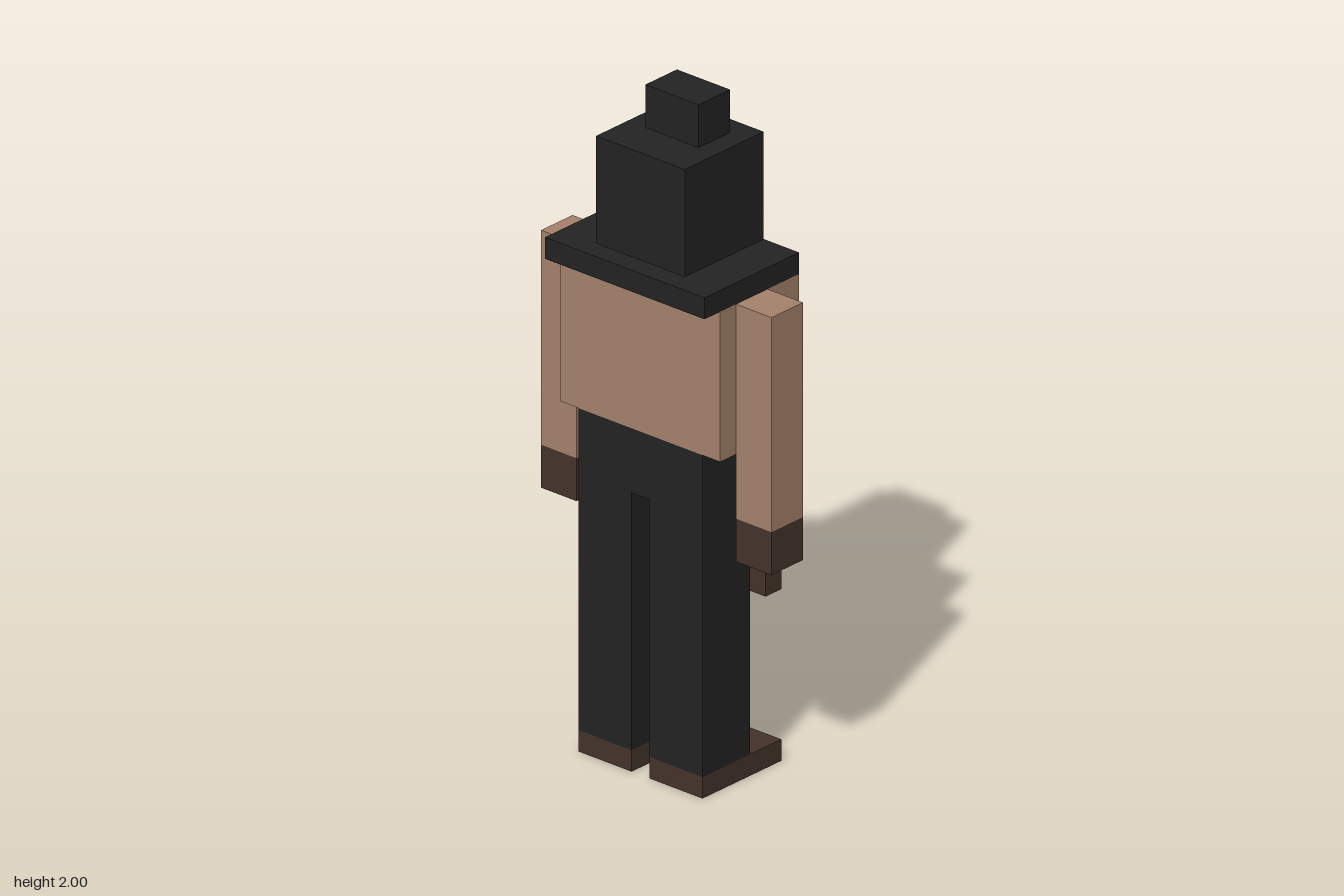
import * as THREE from 'three';

const U = 2 / 31; // one block unit; the figure is 31 blocks tall

const mat = (name, color) => {
  const m = new THREE.MeshStandardMaterial({ color });
  m.name = name;
  return m;
};

export function createModel() {
  const skin = mat('skin', 0xa5826c);
  const black = mat('black cloth', 0x232323);
  const brown = mat('brown leather', 0x45332c);
  const red = mat('red stripe', 0x8e1e22);

  const model = new THREE.Group();
  model.name = 'blockFigure';

  // Box given by its [min, max] ranges in block units
  const box = (name, material, [x0, x1], [y0, y1], [z0, z1]) => {
    const mesh = new THREE.Mesh(
      new THREE.BoxGeometry((x1 - x0) * U, (y1 - y0) * U, (z1 - z0) * U), material);
    mesh.position.set((x0 + x1) / 2 * U, (y0 + y1) / 2 * U, (z0 + z1) / 2 * U);
    mesh.name = name;
    model.add(mesh);
  };
  // The same box on both sides of x = 0
  const pair = (name, material, [x0, x1], y, z) => {
    box(name + 'Left', material, [x0, x1], y, z);
    box(name + 'Right', material, [-x1, -x0], y, z);
  };

  // Legs and hips
  pair('shoe', brown, [0.5, 3.5], [0, 1], [-2.5, 2.5]);
  pair('leg', black, [0.5, 3.5], [1, 13], [-0.5, 2.5]);
  box('hips', black, [-3.5, 3.5], [13, 16], [-1.5, 2.5]);

  // Torso and arms
  box('torso', skin, [-4.5, 4.5], [16, 23], [-2.5, 2.5]);
  pair('arm', skin, [4.5, 6.5], [13, 23], [-0.5, 1.5]);
  pair('glove', brown, [4.5, 6.5], [11, 13], [-0.5, 1.5]);

  // Apron: skirt, striped bib and shoulder straps
  box('apronSkirt', brown, [-3.5, 3.5], [8, 16], [-2.5, -1.5]);
  box('bibLower', brown, [-3.5, 3.5], [16, 17], [-3.5, -2.5]);
  box('bibStripe', red, [-3.5, 3.5], [17, 18], [-3.5, -2.5]);
  box('bibUpper', brown, [-3.5, 3.5], [18, 21], [-3.5, -2.5]);
  pair('strap', brown, [1.5, 2.5], [21, 23], [-3.5, -2.5]);

  // Hooded head with collar and top knot
  box('collar', black, [-4.5, 4.5], [23, 24], [-2.5, 3.5]);
  box('head', black, [-2.5, 2.5], [24, 29], [-2.5, 2.5]);
  box('topKnot', black, [-1.5, 1.5], [29, 31], [-1.5, 0.5]);

  // Eye openings: thin rounded plates on the face, which looks toward -z
  const h = 0.5 * U, r = 0.25 * U;
  const eyeShape = new THREE.Shape();
  eyeShape.moveTo(-h + r, -h);
  eyeShape.lineTo(h - r, -h).quadraticCurveTo(h, -h, h, -h + r);
  eyeShape.lineTo(h, h - r).quadraticCurveTo(h, h, h - r, h);
  eyeShape.lineTo(-h + r, h).quadraticCurveTo(-h, h, -h, h - r);
  eyeShape.lineTo(-h, -h + r).quadraticCurveTo(-h, -h, -h + r, -h);
  const eyeGeo = new THREE.ExtrudeGeometry(eyeShape, { depth: 0.004, bevelEnabled: false, curveSegments: 4 });
  for (const side of [1, -1]) {
    const eye = new THREE.Mesh(eyeGeo, skin);
    eye.position.set(side * U, 26.5 * U, -2.5 * U - 0.003);
    eye.name = side > 0 ? 'eyeLeft' : 'eyeRight';
    model.add(eye);
  }

  return model;
}
